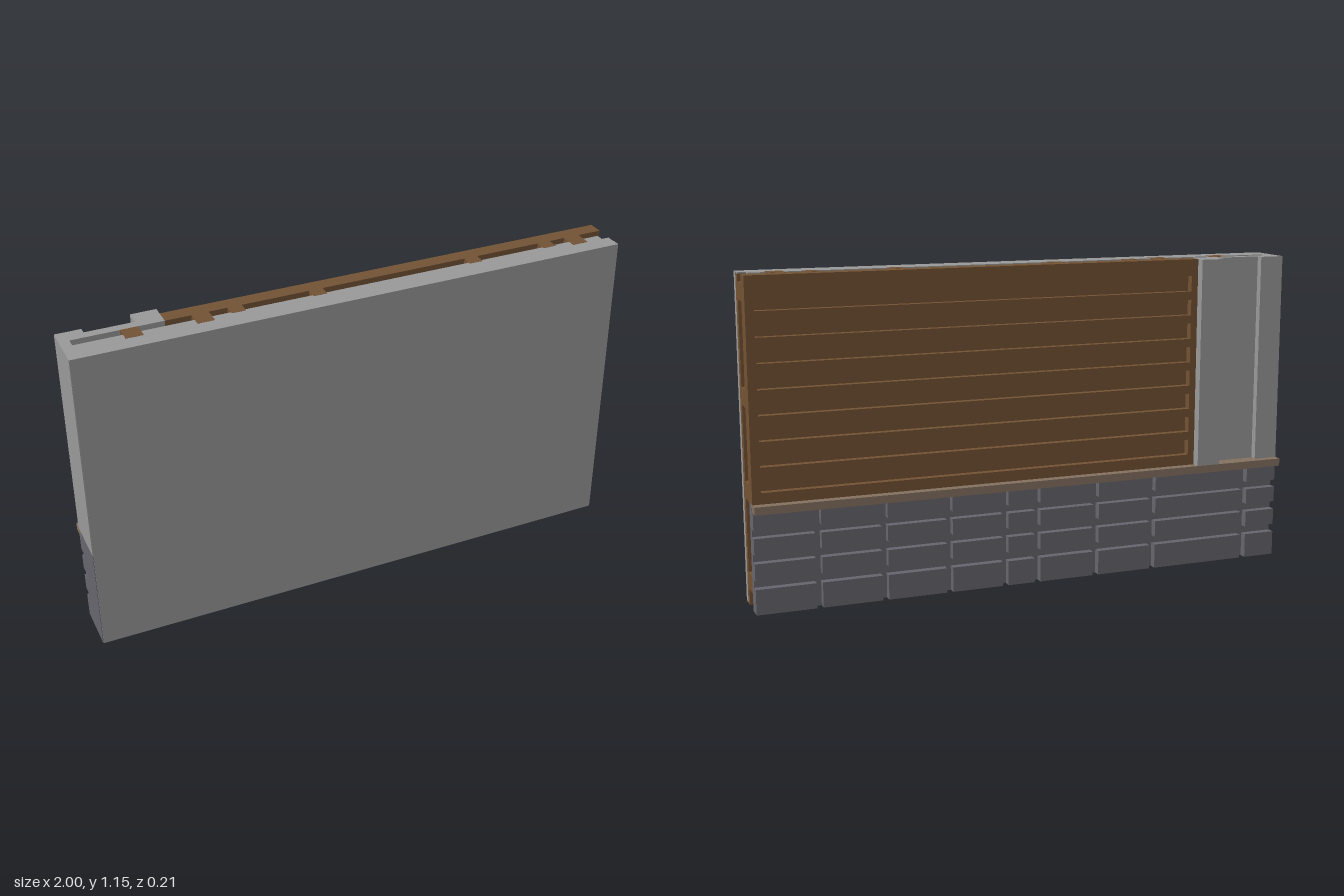
import * as THREE from 'three';

export function createModel() {
  const model = new THREE.Group();
  const mat = (name, color) => Object.assign(new THREE.MeshStandardMaterial({ color }), { name });
  const plaster = mat('grey plaster', 0x999999);
  const wood = mat('brown wood', 0x735234);
  const stone = mat('dark stone', 0x66656d);
  const sill = mat('taupe sill', 0x84705f);
  const H = 1.15, BASE = 0.385;

  const add = (name, geometry, material) => {
    const mesh = new THREE.Mesh(geometry, material);
    mesh.name = name;
    model.add(mesh);
    return mesh;
  };
  // Box given by its limits on each axis
  const box = (name, material, x0, x1, y0, y1, z0, z1) => {
    const g = new THREE.BoxGeometry(x1 - x0, y1 - y0, z1 - z0);
    g.translate((x0 + x1) / 2, (y0 + y1) / 2, (z0 + z1) / 2);
    return add(name, g, material);
  };
  const polygon = (pts) => new THREE.Shape(pts.map(([a, b]) => new THREE.Vector2(a, b)));
  const rect = (x0, x1, y0, y1) => polygon([[x0, y0], [x1, y0], [x1, y1], [x0, y1]]);
  const extrude = (shape, depth) => new THREE.ExtrudeGeometry(shape, { depth, bevelEnabled: false });

  // Front face and the sheets behind it
  box('frontSlab', plaster, -0.998, 1, 0, H, 0.075, 0.105);
  box('liningSheet', wood, -0.965, 1, 0, H - 0.005, 0.045, 0.075);
  box('liningCap', plaster, -0.965, 0.998, H - 0.005, H, 0.045, 0.075);
  box('insulation', plaster, -0.965, 0.97, 0.001, H, 0.017, 0.045);
  box('innerBoard', wood, -0.965, 0.975, 0.02, H - 0.02, -0.017, 0.017);

  // Internal frame, flush with the open edges
  for (const y of [0.09, 0.412, 0.735, 1.09])
    box('frameRail', wood, 0.9, 1, y - 0.03, y + 0.03, -0.017, 0.0455);
  for (const x of [-0.77, -0.53, 0.88])
    box('frameStud', wood, x - 0.03, x + 0.03, 0, H + 0.0005, -0.017, 0.0455);
  for (const x of [-0.41, -0.12, 0.47, 0.765])
    box('frameBatten', wood, x - 0.025, x + 0.025, 0, H + 0.0005, -0.017, 0.025);

  // Back siding: a solid sheet behind a slotted face
  box('sidingBack', wood, -0.65, 1, BASE, H, -0.045, -0.017);
  const siding = rect(-0.65, 1, BASE, H);
  for (let i = 0; i < 8; i++) {
    const top = 1.09 - i * 0.087;
    siding.holes.push(rect(-0.625, 0.97, top - 0.057, top));
  }
  const sidingGeo = extrude(siding, 0.027);
  sidingGeo.translate(0, 0, -0.072);
  add('slottedSiding', sidingGeo, wood);

  // Stepped corner column, drawn in plan as x and -z
  const plan = polygon([
    [-1, -0.0755], [-1, 0.075], [-0.91, 0.075], [-0.91, 0.05], [-0.74, 0.05],
    [-0.74, 0.105], [-0.65, 0.105], [-0.65, 0.017], [-0.965, 0.017], [-0.965, -0.0755],
  ]);
  const columnGeo = extrude(plan, H - BASE);
  columnGeo.rotateX(-Math.PI / 2);
  columnGeo.translate(0, BASE, 0);
  add('cornerColumn', columnGeo, plaster);
  box('columnSide', plaster, -1, -0.99, BASE, H, 0.07, 0.104);

  // Stone plinth: backing, wrapped end and coursed blocks
  box('plinthBack', stone, -1, 1, 0, BASE, -0.045, -0.017);
  box('plinthEnd', stone, -1, -0.965, 0, BASE, -0.017, 0.103);
  const courses = [[0, 0.09], [0.12, 0.18], [0.21, 0.268], [0.295, 0.36]];
  const joints = [-0.868, -0.483, -0.253, -0.023, 0.1, 0.31, 0.546, 0.78];
  const g = 0.011;
  for (const [y0, y1] of courses)
    for (let i = 0; i <= joints.length; i++) {
      const x0 = i ? joints[i - 1] + g : -1;
      const x1 = i < joints.length ? joints[i] - g : 1;
      box('plinthStone', stone, x0, x1, y0, y1, -0.073, -0.045);
    }

  // Chamfered sill over the plinth, drawn in section as -z and y
  const sillGeo = extrude(polygon([
    [0.045, BASE], [0.045, 0.375], [0.07, 0.357], [0.105, 0.357], [0.105, BASE],
  ].reverse()), 2);
  sillGeo.rotateY(Math.PI / 2);
  sillGeo.translate(-1, 0, 0);
  add('plinthSill', sillGeo, sill);

  return model;
}
